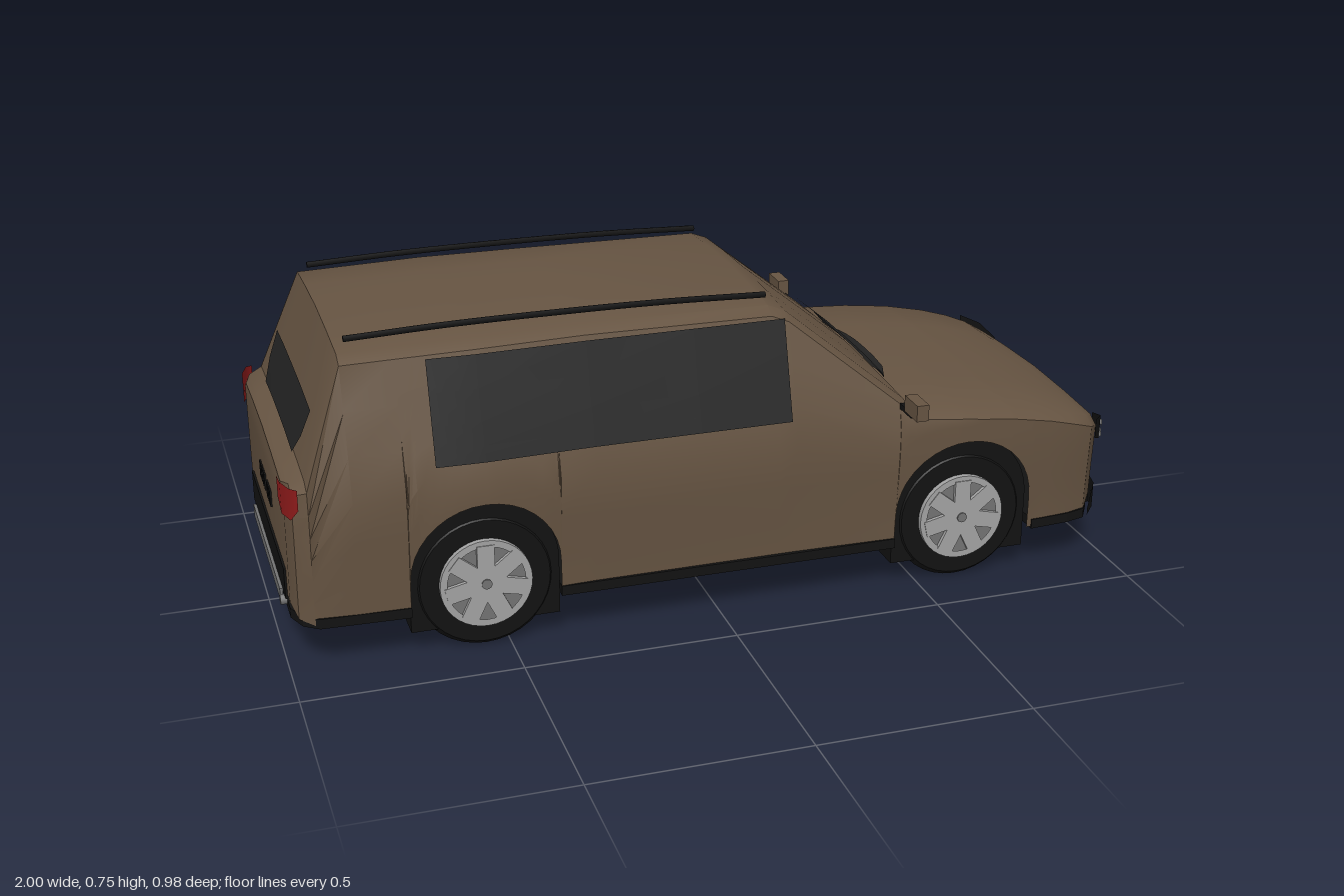
import * as THREE from 'three';
import { toCreasedNormals } from 'three/addons/utils/BufferGeometryUtils.js';

const mat = (name, color, side = THREE.FrontSide) => {
  const m = new THREE.MeshStandardMaterial({ color, side });
  m.name = name;
  return m;
};

// Body stations along the car: x, top height, bottom height, half width
const STATIONS = [
  [-0.985, 0.45, 0.15, 0.33], [-0.972, 0.458, 0.125, 0.37], [-0.94, 0.468, 0.115, 0.392],
  [-0.845, 0.724, 0.113, 0.4], [-0.55, 0.73, 0.113, 0.408], [-0.3, 0.732, 0.113, 0.397],
  [0.14, 0.728, 0.113, 0.394], [0.18, 0.712, 0.113, 0.394], [0.45, 0.492, 0.113, 0.4],
  [0.47, 0.466, 0.113, 0.401], [0.6, 0.455, 0.113, 0.407], [0.72, 0.44, 0.113, 0.405],
  [0.82, 0.42, 0.113, 0.4], [0.89, 0.4, 0.113, 0.393], [0.94, 0.382, 0.12, 0.378],
  [0.975, 0.365, 0.15, 0.335], [0.99, 0.352, 0.175, 0.27],
];
const WHEELS = [-0.555, 0.605];
const ARCH_R = 0.172, ARCH_Y = 0.195;

function at(x, k) {
  let i = 0;
  while (i < STATIONS.length - 2 && x > STATIONS[i + 1][0]) i++;
  const a = STATIONS[i], b = STATIONS[i + 1];
  return a[k] + (b[k] - a[k]) * (x - a[0]) / (b[0] - a[0]);
}

// Half width of the side at a height: bulges to the belt, then leans in to the roof
function sideZ(x, y) {
  const w = at(x, 3);
  if (y > 0.42) return w * (1 - 0.75 * (y - 0.42));
  return w * (0.965 + 0.035 * THREE.MathUtils.smoothstep(y, 0.12, 0.38));
}

// Surface through rows of points
function grid(rows, quads = []) {
  const n = rows[0].length, idx = [];
  for (let i = 0; i < rows.length - 1; i++)
    for (let j = 0; j < n - 1; j++) {
      const a = i * n + j, b = a + n;
      idx.push(a, b, b + 1, a, b + 1, a + 1);
    }
  quads.forEach(([a, b, c, d]) => idx.push(a, b, c, a, c, d));
  const g = new THREE.BufferGeometry();
  g.setAttribute('position', new THREE.Float32BufferAttribute(rows.flat(2), 3));
  g.setIndex(idx);
  g.computeVertexNormals();
  return g;
}

function bodyGeometry() {
  const xs = STATIONS.map(s => s[0]);
  for (const c of WHEELS) {
    xs.push(c - ARCH_R - 0.001, c + ARCH_R + 0.001);
    for (let i = 0; i <= 18; i++) xs.push(c - ARCH_R * Math.cos(Math.PI * i / 18));
  }
  xs.sort((a, b) => a - b);
  const rows = xs.map(x => {
    const top = at(x, 1), sh = top - 0.03;
    let bot = at(x, 2);
    for (const c of WHEELS) {
      const d = Math.abs(x - c);
      if (d <= ARCH_R + 1e-6) bot = ARCH_Y + Math.sqrt(Math.max(0, ARCH_R ** 2 - d * d));
    }
    const half = [];
    for (let j = 0; j <= 6; j++) {
      const y = bot + (sh - bot) * j / 6;
      half.push([x, y, sideZ(x, y)]);
    }
    const z = sideZ(x, sh);
    half.push([x, top - 0.013, z - 0.03], [x, top - 0.005, z * 0.5]);
    return [...half, [x, top, 0], ...half.map(([a, b, c]) => [a, b, -c]).reverse()];
  });
  // Close the nose and the tail
  const n = rows[0].length, last = (rows.length - 1) * n, caps = [];
  for (let j = 0; j < (n - 1) / 2; j++) {
    const q = [j, n - 1 - j, n - 2 - j, j + 1];
    caps.push(q.map(v => v + last), [...q].reverse());
  }
  return toCreasedNormals(grid(rows, caps), 0.5);
}

export function createModel() {
  const car = new THREE.Group();
  car.name = 'car';
  const paint = mat('brown paint', 0x665442, THREE.DoubleSide);
  const glass = mat('dark glass', 0x232323, THREE.DoubleSide);
  const black = mat('black trim', 0x121212, THREE.DoubleSide);
  const silver = mat('silver', 0xa3a3a3, THREE.DoubleSide);
  const grey = mat('grey metal', 0x737373, THREE.DoubleSide);
  const red = mat('red lamp', 0x8c1a1a, THREE.DoubleSide);

  const add = (name, geo, m, parent = car) => {
    const mesh = new THREE.Mesh(geo, m);
    mesh.name = name;
    parent.add(mesh);
    return mesh;
  };
  const box = (name, m, x0, x1, y0, y1, z0, z1, parent = car) => {
    const mesh = add(name, new THREE.BoxGeometry(x1 - x0, y1 - y0, z1 - z0), m, parent);
    mesh.position.set((x0 + x1) / 2, (y0 + y1) / 2, (z0 + z1) / 2);
    return mesh;
  };
  // Upright band wrapped around a corner: x, z, low y, high y
  const band = (name, m, pts, parent) => add(name, grid([
    pts.map(([x, z, lo]) => [x, lo, z]), pts.map(([x, z, , hi]) => [x, hi, z])]), m, parent);

  add('body', bodyGeometry(), paint);

  // Underbody and black sills, in three plan outlines between the wheels
  const plans = {
    rearUnderbody: [[-0.727, 0.393], [-0.93, 0.385], [-0.965, 0.36], [-0.985, 0.31]],
    middleUnderbody: [[-0.383, 0.39], [0.433, 0.39]],
    frontUnderbody: [[0.79, 0.391], [0.89, 0.383], [0.94, 0.37], [0.972, 0.32], [0.985, 0.25]],
  };
  for (const [name, half] of Object.entries(plans)) {
    const outline = [...half, ...half.map(([x, z]) => [x, -z]).reverse()];
    const shape = new THREE.Shape(outline.map(p => new THREE.Vector2(...p)));
    const g = new THREE.ExtrudeGeometry(shape, { depth: 0.024, bevelEnabled: false });
    add(name, g.rotateX(Math.PI / 2).translate(0, 0.132, 0), black);
  }

  // Wheel housings reaching across the car
  for (const x of WHEELS) {
    const s = new THREE.Shape();
    s.moveTo(-ARCH_R, 0.057).lineTo(ARCH_R, 0.057).lineTo(ARCH_R, ARCH_Y);
    s.absarc(0, ARCH_Y, ARCH_R, 0, Math.PI, false);
    const g = new THREE.ExtrudeGeometry(s, { depth: 0.736, bevelEnabled: false, curveSegments: 20 });
    add('wheelHousing', g.translate(x, 0, -0.368), black);
  }

  // Wheel facing +z
  const tyreProfile = [[0.09, 0.285], [0.15, 0.285], [0.162, 0.297], [0.162, 0.358], [0.15, 0.372], [0.1, 0.372]];
  const tyre = toCreasedNormals(new THREE.LatheGeometry(
    tyreProfile.map(p => new THREE.Vector2(...p)), 36).rotateX(Math.PI / 2), 0.5);
  const wheel = x => {
    const w = new THREE.Group();
    w.name = 'wheel';
    w.position.set(x, 0.163, 0);
    add('tyre', tyre, black, w);
    const disc = add('rimDisc', new THREE.CylinderGeometry(0.104, 0.104, 0.012, 32).rotateX(Math.PI / 2), grey, w);
    disc.position.z = 0.372;
    const ring = add('rimRing', new THREE.RingGeometry(0.09, 0.106, 36), silver, w);
    ring.position.z = 0.385;
    add('rimEdge', new THREE.CylinderGeometry(0.106, 0.106, 0.02, 36, 1, true).rotateX(Math.PI / 2), silver, w)
      .position.z = 0.375;
    for (let i = 0; i < 7; i++) {
      const spoke = add('spoke', new THREE.BoxGeometry(0.04, 0.088, 0.012).translate(0, 0.05, 0.381), silver, w);
      spoke.rotation.z = i * Math.PI * 2 / 7;
    }
    add('hub', new THREE.CylinderGeometry(0.012, 0.012, 0.008, 16).rotateX(Math.PI / 2), grey, w).position.z = 0.386;
    return w;
  };

  // Everything that is mirrored left and right
  for (const s of [1, -1]) {
    const side = new THREE.Group();
    side.name = s > 0 ? 'nearSide' : 'farSide';
    side.scale.z = s;
    car.add(side);
    WHEELS.forEach(x => side.add(wheel(x)));

    const ys = [0.465, 0.5, 0.55, 0.62, 0.692];
    const xs = [-0.66, -0.55, -0.3, -0.05, 0.168];
    add('sideWindow', grid(ys.map(y => xs.map(x => [x, y, sideZ(x, y) + 0.006]))), glass, side);

    const rail = new THREE.CatmullRomCurve3([[-0.825, 0.734], [-0.6, 0.742], [-0.34, 0.744], [-0.1, 0.742], [0.14, 0.734]]
      .map(([x, y]) => new THREE.Vector3(x, y, 0.263)));
    add('roofRail', new THREE.TubeGeometry(rail, 20, 0.007, 6), black, side);

    box('mirrorArm', black, 0.432, 0.448, 0.465, 0.478, 0.385, 0.45, side);
    box('mirror', paint, 0.428, 0.457, 0.473, 0.512, 0.42, 0.492, side);

    band('headlight', black, [[0.997, 0.275, 0.305, 0.342], [0.982, 0.342, 0.302, 0.362], [0.945, 0.387, 0.325, 0.373]], side);
    band('headlightLens', silver, [[1.0, 0.285, 0.318, 0.334], [0.986, 0.344, 0.309, 0.324], [0.96, 0.378, 0.322, 0.334]], side);
    band('headlightLens', silver, [[0.996, 0.305, 0.336, 0.345], [0.986, 0.344, 0.332, 0.35]], side);
    band('bumperCorner', black, [[0.995, 0.25, 0.115, 0.155], [0.988, 0.3, 0.115, 0.185],
      [0.98, 0.338, 0.118, 0.182], [0.943, 0.383, 0.12, 0.14]], side);
    band('tailLight', red, [[-0.992, 0.3, 0.4, 0.45], [-0.99, 0.333, 0.375, 0.45],
      [-0.976, 0.376, 0.375, 0.45], [-0.96, 0.388, 0.4, 0.448]], side);
  }

  // Windscreen and rear window
  const pane = (name, rows) => add(name, grid(rows.map(([x, y, w]) =>
    [[x, y - 0.006, w], [x, y, w / 2], [x, y + 0.001, 0], [x, y, -w / 2], [x, y - 0.006, -w]])), glass);
  pane('windscreen', [[0.415, 0.529, 0.256], [0.45, 0.502, 0.235], [0.471, 0.474, 0.2], [0.5, 0.47, 0.12]]);
  pane('rearWindow', [[-0.946, 0.474, 0.22], [-0.928, 0.523, 0.255], [-0.905, 0.584, 0.265]]);

  // Grille, number plate and lower bumper
  box('grille', glass, 0.988, 0.994, 0.224, 0.335, -0.212, 0.212);
  for (const y of [0.24, 0.279, 0.318]) box('grilleBar', grey, 0.993, 0.997, y - 0.007, y + 0.007, -0.211, 0.211);
  const badge = add('grilleButton', new THREE.CylinderGeometry(0.014, 0.014, 0.005, 16).rotateZ(Math.PI / 2), silver);
  badge.position.set(0.997, 0.284, 0);
  box('frontPlate', silver, 0.99, 0.998, 0.184, 0.232, -0.11, 0.11);
  box('lowerIntake', black, 0.97, 0.988, 0.112, 0.162, -0.3, 0.3);
  box('frontSkidPlate', grey, 0.992, 0.999, 0.106, 0.155, -0.234, 0.234);

  // Plain dark bars on the plates
  for (const z of [-0.08, -0.055, -0.03, -0.005, 0.04, 0.065, 0.09]) {
    box('plateBar', black, 0.997, 0.9995, 0.193, 0.223, -z - 0.008, -z + 0.008);
    box('rearPlateBar', black, -0.989, -0.984, 0.285, 0.325, z - 0.008, z + 0.008);
  }

  // Rear bumper insert, skid plate and exhaust
  box('rearBumperInsert', black, -0.99, -0.97, 0.14, 0.215, -0.28, 0.28);
  box('rearSkidPlate', grey, -0.997, -0.99, 0.115, 0.145, -0.235, 0.235);
  const pipe = add('exhaust', new THREE.CylinderGeometry(0.012, 0.012, 0.08, 14).rotateZ(Math.PI / 2), grey);
  pipe.position.set(-0.96, 0.128, 0.255);

  return car;
}
